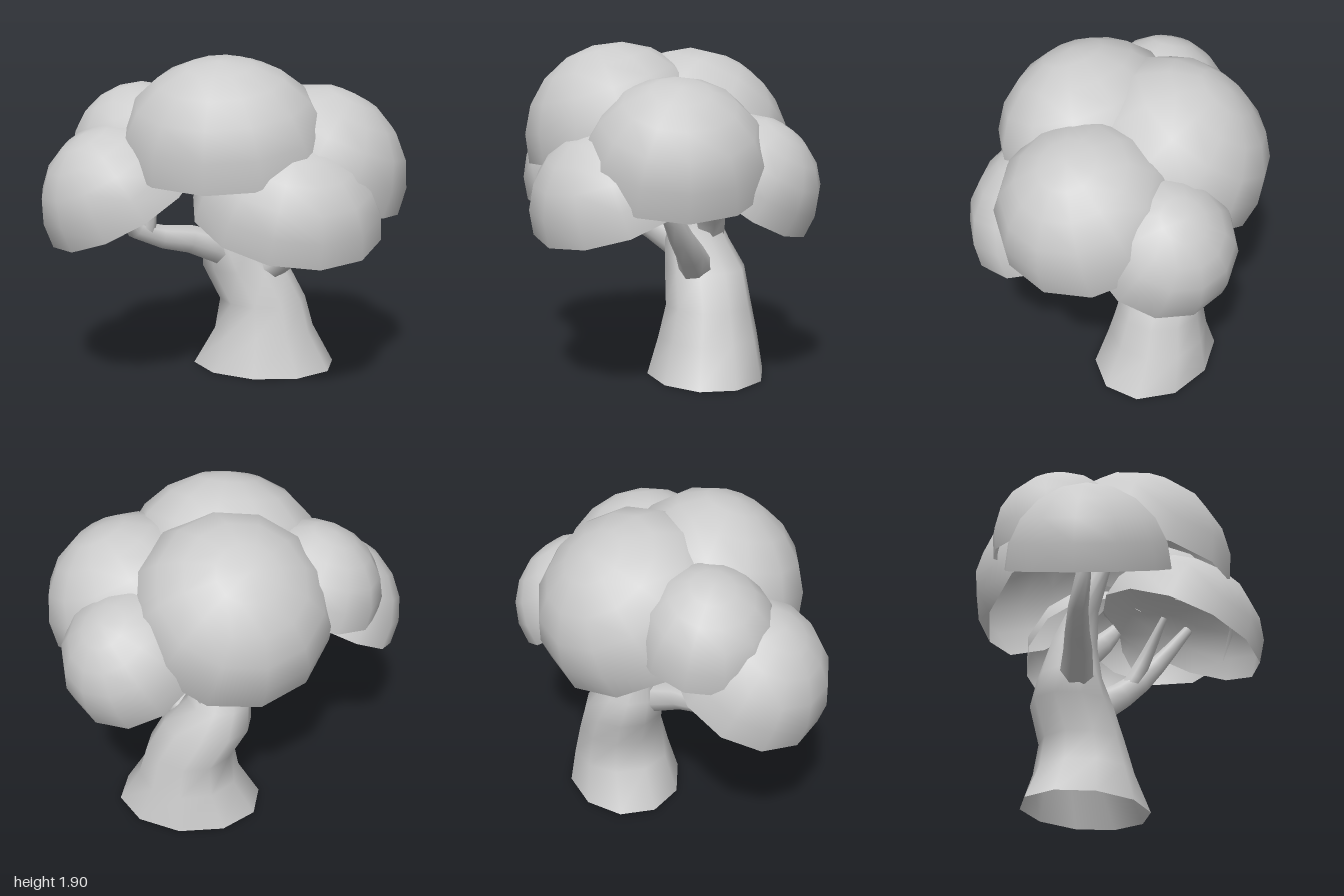
import * as THREE from 'three';
import { mergeVertices } from 'three/addons/utils/BufferGeometryUtils.js';

const material = new THREE.MeshStandardMaterial({ color: 0xcccccc, side: THREE.DoubleSide });

// Welds seams so the shading stays smooth all the way round
function smooth(geometry) {
  geometry.deleteAttribute('uv');
  geometry.deleteAttribute('normal');
  const welded = mergeVertices(geometry, 1e-4);
  welded.computeVertexNormals();
  return welded;
}

// Trunk: open cylinder whose rings follow sections [y, cx, cz, rx, rz]
function makeTrunk(sections) {
  const n = sections.length - 1;
  const g = new THREE.CylinderGeometry(1, 1, 1, 10, n, true);
  const p = g.attributes.position;
  for (let i = 0; i < p.count; i++) {
    const [y, cx, cz, rx, rz] = sections[Math.round((p.getY(i) + 0.5) * n)];
    p.setXYZ(i, cx + p.getX(i) * rx, y, cz + p.getZ(i) * rz);
  }
  return smooth(g);
}

// Branch: tube along a curve, narrowing from r0 to r1
function makeBranch(points, r0, r1) {
  const curve = new THREE.CatmullRomCurve3(points.map((q) => new THREE.Vector3(...q)));
  const steps = 6, sides = 7;
  const g = new THREE.TubeGeometry(curve, steps, 1, sides);
  const p = g.attributes.position;
  const v = new THREE.Vector3();
  for (let i = 0; i < p.count; i++) {
    const t = Math.floor(i / (sides + 1)) / steps;
    const c = curve.getPointAt(t);
    v.fromBufferAttribute(p, i).sub(c).multiplyScalar(r0 + (r1 - r0) * t).add(c);
    p.setXYZ(i, v.x, v.y, v.z);
  }
  return smooth(g);
}

// Foliage: open half ellipsoid whose pole leans by tilt degrees towards (dx, dz)
function makeDome(center, radii, tilt, dx, dz) {
  const g = new THREE.SphereGeometry(1, 12, 5, 0, Math.PI * 2, 0, Math.PI / 2);
  g.scale(...radii);
  const axis = new THREE.Vector3(dz, 0, -dx).normalize();
  g.applyQuaternion(new THREE.Quaternion().setFromAxisAngle(axis, THREE.MathUtils.degToRad(tilt)));
  g.translate(...center);
  return smooth(g);
}

export function createModel() {
  const tree = new THREE.Group();
  tree.name = 'tree';
  const add = (name, geometry) => {
    const mesh = new THREE.Mesh(geometry, material);
    mesh.name = name;
    tree.add(mesh);
  };

  // Flared, leaning trunk
  add('trunk', makeTrunk([
    [0, 0.16, -0.215, 0.43, 0.34],
    [0.22, 0.16, -0.23, 0.3, 0.29],
    [0.4, 0.15, -0.235, 0.26, 0.25],
    [0.6, 0.045, -0.23, 0.26, 0.235],
    [0.75, -0.02, -0.195, 0.185, 0.19],
    [0.95, -0.01, -0.17, 0.165, 0.12],
    [1.15, -0.02, -0.1, 0.1, 0.09],
    [1.4, 0, 0.03, 0.05, 0.05],
  ]));

  // Branches
  const branches = {
    leftBranch: [[[0.08, 0.56, -0.17], [0.27, 0.67, -0.13], [0.44, 0.83, -0.03], [0.56, 1.0, 0.06], [0.65, 1.2, 0.2]], 0.11, 0.03],
    leftFrontTwig: [[[0.38, 0.78, -0.06], [0.42, 0.98, 0.04], [0.42, 1.2, 0.18]], 0.06, 0.02],
    rightBranch: [[[0, 0.68, -0.17], [-0.25, 0.81, 0.05], [-0.47, 0.87, 0.22], [-0.56, 1.02, 0.33], [-0.58, 1.2, 0.36]], 0.11, 0.03],
    rightUpperTwig: [[[-0.44, 0.87, 0.21], [-0.42, 1.05, 0.22], [-0.46, 1.4, 0.18]], 0.045, 0.025],
    backBranch: [[[-0.02, 0.76, -0.22], [0.1, 0.91, -0.24], [0.3, 1.08, -0.21], [0.45, 1.25, -0.19]], 0.13, 0.04],
  };
  for (const [name, args] of Object.entries(branches)) add(name, makeBranch(...args));

  // Foliage domes
  const domes = {
    frontTopFoliage: [[0.025, 1.365, 0.265], [0.595, 0.535, 0.535], 16, 0, 1],
    backTopFoliage: [[-0.075, 1.32, -0.17], [0.575, 0.53, 0.57], 36, -0.45, -0.85],
    leftFoliage: [[0.495, 1.22, 0.015], [0.52, 0.505, 0.52], 25, 1, 0],
    leftFrontFoliage: [[0.38, 1.02, 0.32], [0.53, 0.46, 0.48], 22, 0.5, 0.85],
    rightFrontFoliage: [[-0.54, 1.07, 0.345], [0.465, 0.465, 0.45], 30, -0.8, 0.6],
    rightFoliage: [[-0.485, 1.33, 0.125], [0.41, 0.4, 0.395], 19, -1, 0],
    backLeftFoliage: [[0.42, 1.1, -0.38], [0.41, 0.42, 0.425], 36, 0.5, -0.85],
  };
  for (const [name, args] of Object.entries(domes)) add(name, makeDome(...args));

  return tree;
}
